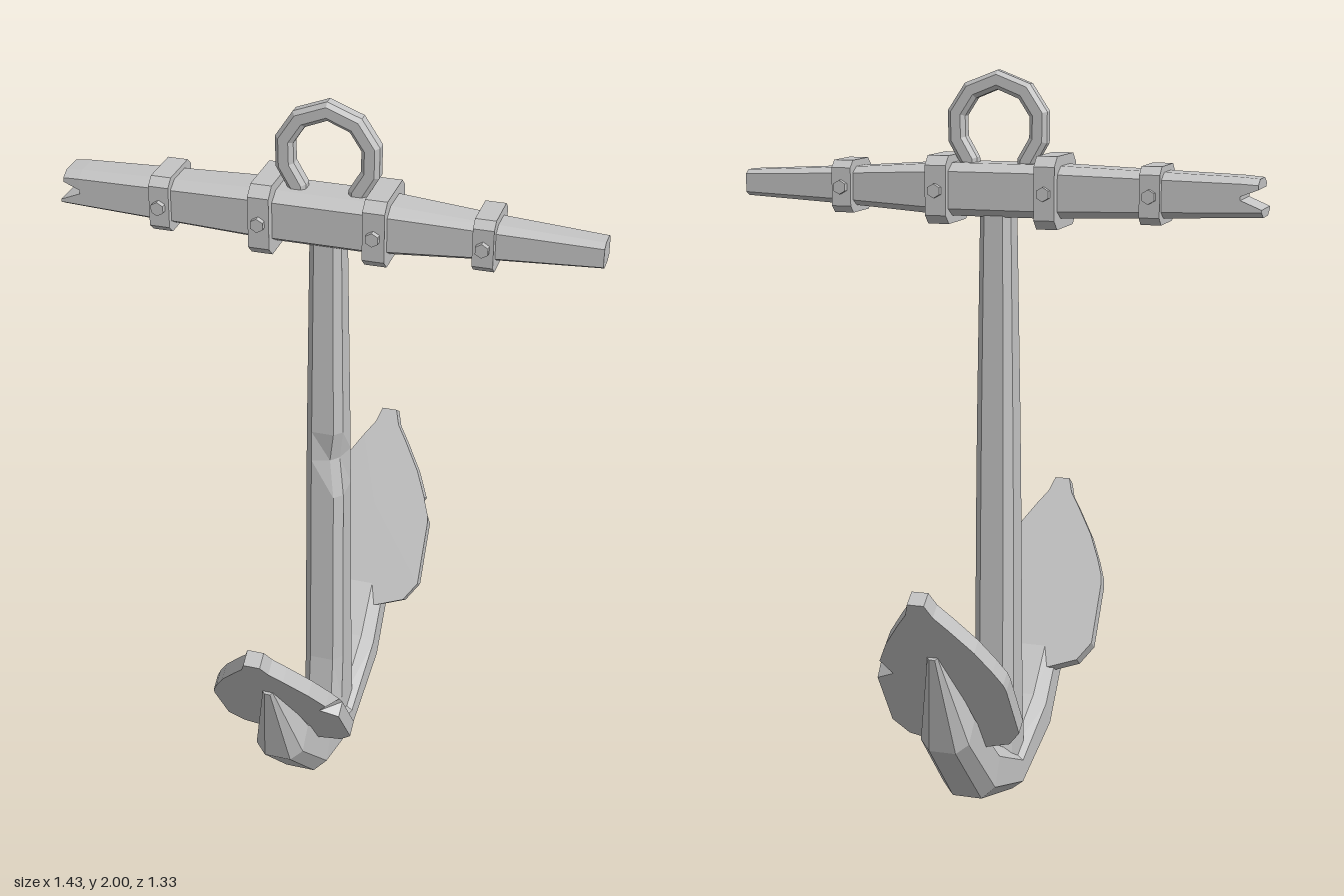
import * as THREE from 'three';

const iron = new THREE.MeshStandardMaterial({ color: 0xc4c4c4 });
iron.name = 'grey iron';

const V = (x, y, z) => new THREE.Vector3(x, y, z);

// Chamfered rectangle as 8 [u, v] corners; cu and cv are the shares of each half side cut off
function octagon(a, b, cu, cv = cu) {
  const p = a * (1 - cu), q = b * (1 - cv);
  return [[a, -q], [a, q], [p, b], [-p, b], [-a, q], [-a, -q], [-p, -b], [p, -b]];
}

// Faceted solid through a list of equal-length cross-section loops, capped at both ends
function loft(sections) {
  const tris = [], n = sections[0].length;
  for (let i = 0; i < sections.length - 1; i++) {
    for (let j = 0; j < n; j++) {
      const k = (j + 1) % n, A = sections[i], B = sections[i + 1];
      tris.push([A[j], A[k], B[k]], [A[j], B[k], B[j]]);
    }
  }
  const cap = (s, flip) => {
    const mid = s.reduce((m, p) => m.add(p), V(0, 0, 0)).divideScalar(n);
    s.forEach((p, j) => {
      const q = s[(j + 1) % n];
      tris.push(flip ? [mid, q, p] : [mid, p, q]);
    });
  };
  cap(sections[0], true);
  cap(sections[sections.length - 1], false);
  // Turn the faces outward if the solid came out inverted
  const volume = tris.reduce((s, [a, b, c]) => s + a.dot(b.clone().cross(c)), 0);
  if (volume < 0) tris.forEach((t) => t.reverse());
  const geometry = new THREE.BufferGeometry().setFromPoints(tris.flat());
  geometry.computeVertexNormals();
  return geometry;
}

function add(parent, name, geometry) {
  const mesh = new THREE.Mesh(geometry, iron);
  mesh.name = name;
  parent.add(mesh);
  return mesh;
}

const STOCK_Y = 1.69;

// Upright shank: [y, half x, half z, dent], flared at the foot and chipped on one edge
function shank() {
  const rows = [
    [0.06, 0.056, 0.1, 0], [0.17, 0.056, 0.088, 0], [0.32, 0.056, 0.07, 0], [0.87, 0.053, 0.06, 0],
    [0.98, 0.052, 0.058, 0.014], [1.07, 0.051, 0.057, 0], [1.69, 0.042, 0.046, 0],
  ];
  return loft(rows.map(([y, a, b, dent]) => octagon(a, b, 0.4).map(([x, z], i) => {
    const d = i === 1 || i === 2 ? dent : 0;
    return V(x - d, y, z - d);
  })));
}

// Curved arms: outer z, y, inner z, y, half width; mirrored front to back
function arms() {
  const half = [
    [0, 0, 0, 0.115, 0.072], [0.277, 0.08, 0.2, 0.212, 0.074],
    [0.473, 0.28, 0.385, 0.375, 0.066], [0.547, 0.555, 0.525, 0.575, 0.014],
  ];
  const mirrored = half.slice(1).reverse().map(([a, b, c, d, w]) => [-a, b, -c, d, w]);
  return loft([...mirrored, ...half].map(([oz, oy, iz, iy, w]) =>
    octagon(w, 1, 0.45).map(([x, v]) => {
      const t = (v + 1) / 2;
      return V(x, oy + (iy - oy) * t, oz + (iz - oz) * t);
    })));
}

// Leaf-shaped fluke plate; one edge is chipped on the underside only
function fluke(chipSide) {
  const side = [[0.06, 0], [0.14, 0.03], [0.176, 0.085], [0.175, 0.27], [0.171, 0.295],
    [0.152, 0.345], [0.118, 0.42], [0.066, 0.505], [0.036, 0.55], [0.022, 0.594]];
  const outline = (z, chip) => {
    const edge = (s) => side.map(([x, y], i) =>
      V(s * (i === 4 && s === chipSide ? x - chip : x), y, z));
    return [...edge(1), ...edge(-1).reverse()];
  };
  return loft([outline(0, 0), outline(0.042, 0.045)]);
}

// Cross-section of the stock at x, optionally keeping only y above lo and below hi
const beam = (x, h, d, lo = -1, hi = 1) => octagon(d, h, 0.45, 0.3)
  .map(([z, y]) => V(x, STOCK_Y + THREE.MathUtils.clamp(y, lo, hi), z));

// Ring: eight-sided bar swept along an angular open loop
function ring() {
  const half = [[0.08, 1.72], [0.08, 1.765], [0.112, 1.82], [0.113, 1.888], [0.074, 1.947]];
  const path = [...half, [0, 1.976], ...half.map(([x, y]) => [-x, y]).reverse()]
    .map(([x, y]) => V(x, y, 0));
  return loft(path.map((p, i) => {
    const before = path[Math.max(i - 1, 0)], after = path[Math.min(i + 1, path.length - 1)];
    const t = after.clone().sub(before).normalize();
    const normal = V(t.y, -t.x, 0);
    return octagon(0.025, 0.024, 0.45)
      .map(([u, z]) => p.clone().addScaledVector(normal, u).setZ(z));
  }));
}

export function createModel() {
  const model = new THREE.Group();
  model.name = 'anchor';

  add(model, 'shank', shank());
  add(model, 'arms', arms());
  add(model, 'ring', ring());

  // A fluke at the end of each arm, both chipped on the same side
  for (const [name, turn, chipSide] of [['frontFluke', 0, 1], ['backFluke', Math.PI, -1]]) {
    const holder = new THREE.Group();
    holder.name = name;
    holder.rotation.y = turn;
    const plate = add(holder, 'flukePlate', fluke(chipSide));
    plate.position.set(0, 0.27, 0.288);
    plate.rotation.x = 0.61;
    model.add(holder);
  }

  // Tapered stock with a split end on the right
  const stock = new THREE.Group();
  stock.name = 'stock';
  model.add(stock);
  add(stock, 'stockBeam', loft([
    beam(-0.66, 0.052, 0.06), beam(-0.13, 0.07, 0.076), beam(0.12, 0.07, 0.076),
    beam(0.42, 0.05, 0.055), beam(0.715, 0.035, 0.04),
  ]));
  add(stock, 'upperSplinter', loft([
    beam(-0.66, 0.052, 0.06, 0.005), beam(-0.705, 0.048, 0.057, 0.022),
  ]));
  add(stock, 'lowerSplinter', loft([
    beam(-0.66, 0.052, 0.06, -1, -0.005), beam(-0.715, 0.05, 0.058, -1, -0.028),
  ]));

  // Clamping bands: x, half height, half depth, half width, each with a bolt through it
  const bands = [[-0.43, 0.075, 0.084, 0.027], [-0.155, 0.095, 0.102, 0.028],
    [0.145, 0.09, 0.096, 0.029], [0.42, 0.07, 0.075, 0.027]];
  for (const [x, h, d, w] of bands) {
    add(stock, 'band', loft([x - w, x + w].map((end) =>
      octagon(d, h, 0.27).map(([z, y]) => V(end, STOCK_Y + y, z)))));
    const bolt = new THREE.CylinderGeometry(0.019, 0.019, 2 * d + 0.03, 6).toNonIndexed();
    bolt.computeVertexNormals();
    const mesh = add(stock, 'bolt', bolt);
    mesh.rotation.x = Math.PI / 2;
    mesh.position.set(x, STOCK_Y, 0);
  }
  return model;
}
